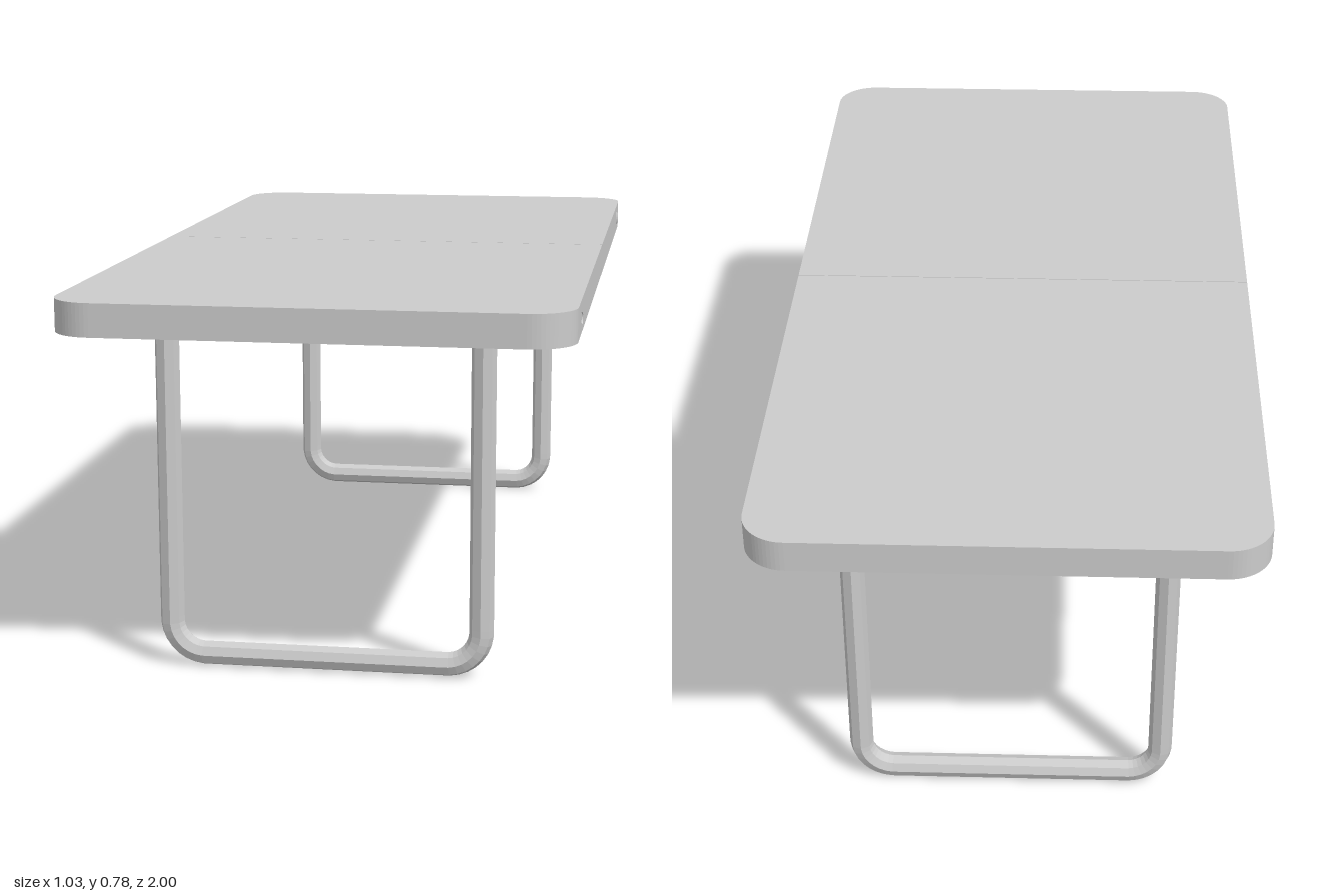
import * as THREE from 'three';

const HALF_W = 0.51, LENGTH = 1, TOP = 0.787, UNDER = 0.72;
const LEG_X = 0.32, LEG_Z = 0.79, TUBE_R = 0.025, BEND = 0.07, FLOOR = 0.029;

const flat = new THREE.MeshStandardMaterial({ color: 0xcccccc, flatShading: true });

function part(name, geometry) {
  const mesh = new THREE.Mesh(geometry, flat);
  mesh.name = name;
  return mesh;
}

// Half of the table top: square at the seam, rounded at the outer end
function panelGeometry() {
  const r = 0.09, seam = 0.001;
  const s = new THREE.Shape();
  s.moveTo(-HALF_W, seam);
  s.lineTo(HALF_W, seam);
  s.lineTo(HALF_W, LENGTH - r);
  s.absarc(HALF_W - r, LENGTH - r, r, 0, Math.PI / 2, false);
  s.lineTo(-HALF_W + r, LENGTH);
  s.absarc(-HALF_W + r, LENGTH - r, r, Math.PI / 2, Math.PI, false);
  s.closePath();
  return new THREE.ExtrudeGeometry(s, { depth: TOP - UNDER, bevelEnabled: false, curveSegments: 8 })
    .rotateX(-Math.PI / 2)
    .translate(0, UNDER, 0);
}

// U-shaped tube: down one side, along the floor, up the other
function legGeometry() {
  const v = (x, y) => new THREE.Vector3(x, y, -LEG_Z);
  const k = BEND * 0.45; // handle offset for a near-circular bend
  const path = new THREE.CurvePath();
  path.add(new THREE.LineCurve3(v(-LEG_X, UNDER + 0.01), v(-LEG_X, FLOOR + BEND)));
  path.add(new THREE.CubicBezierCurve3(v(-LEG_X, FLOOR + BEND), v(-LEG_X, FLOOR + k),
    v(-LEG_X + k, FLOOR), v(-LEG_X + BEND, FLOOR)));
  path.add(new THREE.LineCurve3(v(-LEG_X + BEND, FLOOR), v(LEG_X - BEND, FLOOR)));
  path.add(new THREE.CubicBezierCurve3(v(LEG_X - BEND, FLOOR), v(LEG_X - k, FLOOR),
    v(LEG_X, FLOOR + k), v(LEG_X, FLOOR + BEND)));
  path.add(new THREE.LineCurve3(v(LEG_X, FLOOR + BEND), v(LEG_X, UNDER + 0.01)));
  return new THREE.TubeGeometry(path, 140, TUBE_R, 8, false);
}

export function createModel() {
  const table = new THREE.Group();
  table.name = 'foldingTable';

  for (const end of ['back', 'front']) {
    const half = new THREE.Group();
    half.name = end + 'Half';
    half.rotation.y = end === 'front' ? Math.PI : 0;
    half.add(part('tabletopPanel', panelGeometry()), part('legFrame', legGeometry()));

    for (const side of [-1, 1]) {
      // Thin collar where the leg meets the panel
      const collar = part('legCollar', new THREE.CylinderGeometry(0.032, 0.03, 0.004, 8));
      collar.position.set(side * LEG_X, UNDER - 0.001, -LEG_Z);

      // Small curved catch on the panel edge
      const catchHook = part('edgeCatch', new THREE.TorusGeometry(0.013, 0.003, 6, 10, Math.PI));
      catchHook.rotation.set(0, Math.PI / 2, Math.PI / 2, 'YXZ');
      catchHook.position.set(side * HALF_W, 0.752, -0.82);
      half.add(collar, catchHook);
    }
    table.add(half);
  }
  return table;
}
